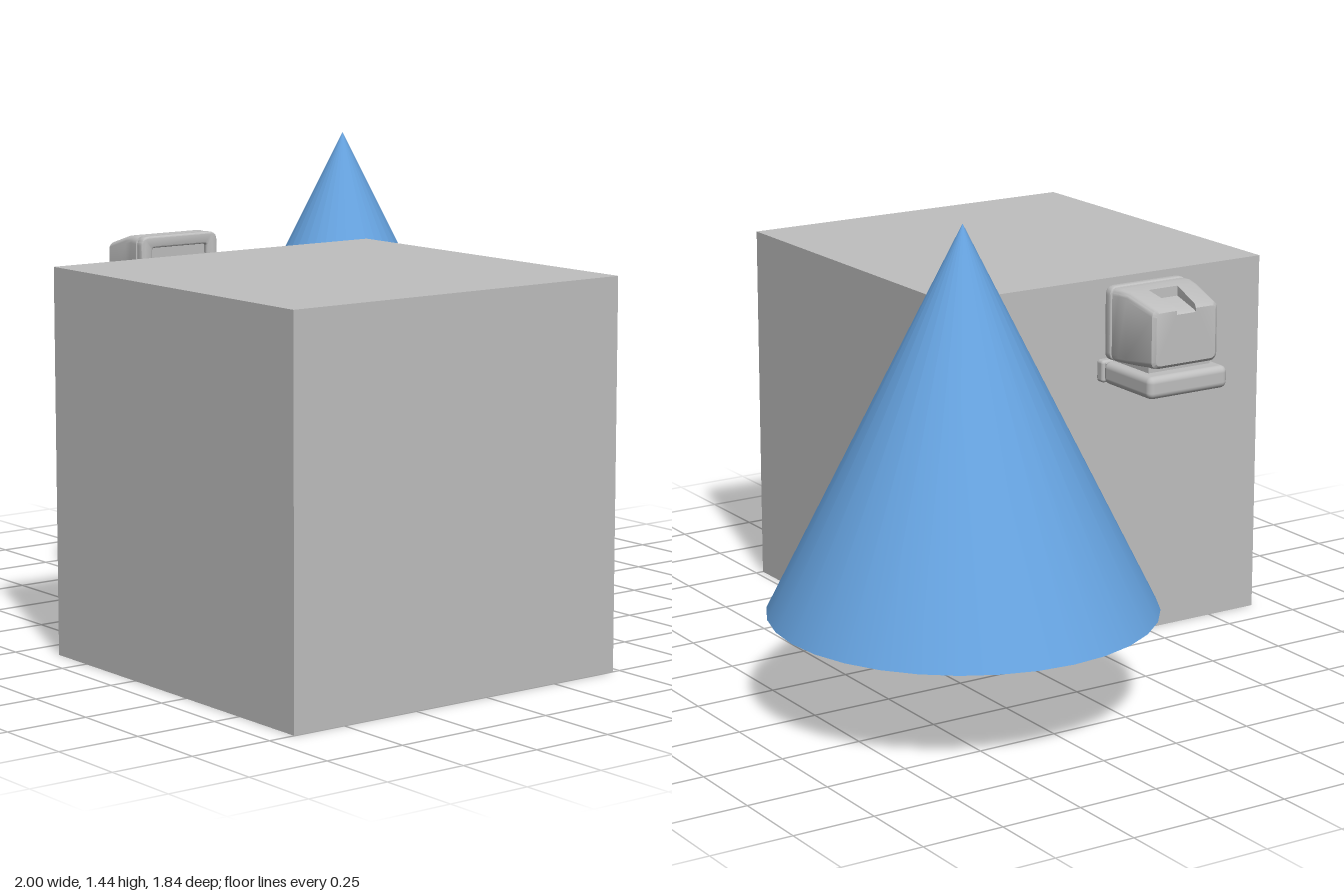
import * as THREE from 'three';
import { toCreasedNormals } from 'three/addons/utils/BufferGeometryUtils.js';
import { RoundedBoxGeometry } from 'three/addons/geometries/RoundedBoxGeometry.js';

const MID_Z = 0.337;

// Rounded rectangle as a Shape or a Path
function roundedRect(target, x0, y0, x1, y1, r) {
  target.moveTo(x0 + r, y0);
  target.lineTo(x1 - r, y0);
  target.quadraticCurveTo(x1, y0, x1, y0 + r);
  target.lineTo(x1, y1 - r);
  target.quadraticCurveTo(x1, y1, x1 - r, y1);
  target.lineTo(x0 + r, y1);
  target.quadraticCurveTo(x0, y1, x0, y1 - r);
  target.lineTo(x0, y0 + r);
  target.quadraticCurveTo(x0, y0, x0 + r, y0);
  return target;
}

// Cross-section (z, y) of the monitor housing, with a grip notch in its top
function section({ half, y0, y1, r, notch, depth }) {
  const pts = [];
  const corner = (cz, cy, start) => {
    for (let k = 0; k <= 5; k++) {
      const a = start + (k / 5) * Math.PI / 2;
      pts.push(new THREE.Vector2(cz + r * Math.cos(a), cy + r * Math.sin(a)));
    }
  };
  corner(-half + r, y0 + r, Math.PI);
  corner(half - r, y0 + r, Math.PI * 1.5);
  corner(half - r, y1 - r, 0);
  for (const [z, y] of [[notch, y1], [notch, y1 - depth], [-notch, y1 - depth], [-notch, y1]]) {
    pts.push(new THREE.Vector2(z, y));
  }
  corner(-half + r, y1 - r, Math.PI / 2);
  return pts;
}

// Skin the housing sections along x and close the rear end
function housingGeometry() {
  const stations = [
    { x: -0.557, half: 0.106, y0: 0.973, y1: 1.132, r: 0.014, notch: 0.034, depth: 0.012 },
    { x: -0.549, half: 0.117, y0: 0.964, y1: 1.143, r: 0.022, notch: 0.035, depth: 0.018 },
    { x: -0.440, half: 0.131, y0: 0.957, y1: 1.173, r: 0.022, notch: 0.052, depth: 0.030 },
    { x: -0.439, half: 0.131, y0: 0.957, y1: 1.173, r: 0.022, notch: 0.052, depth: 0 },
    { x: -0.405, half: 0.135, y0: 0.955, y1: 1.178, r: 0.022, notch: 0.052, depth: 0 },
    { x: -0.376, half: 0.137, y0: 0.954, y1: 1.176, r: 0.022, notch: 0.052, depth: 0 },
    { x: -0.375, half: 0.129, y0: 0.962, y1: 1.168, r: 0.022, notch: 0.052, depth: 0 },
    { x: -0.360, half: 0.129, y0: 0.962, y1: 1.168, r: 0.022, notch: 0.052, depth: 0 },
  ];
  const loops = stations.map(section);
  const n = loops[0].length;
  const pos = [];
  const idx = [];
  loops.forEach((loop, i) => loop.forEach((p) => pos.push(stations[i].x, p.y, MID_Z + p.x)));
  for (let i = 0; i < loops.length - 1; i++) {
    for (let j = 0; j < n; j++) {
      const a = i * n + j;
      const b = i * n + (j + 1) % n;
      idx.push(a, a + n, b + n, a, b + n, b);
    }
  }
  THREE.ShapeUtils.triangulateShape(loops[0].slice(), []).forEach((f) => idx.push(...f));
  const g = new THREE.BufferGeometry();
  g.setAttribute('position', new THREE.Float32BufferAttribute(pos, 3));
  g.setIndex(idx);
  return toCreasedNormals(g, 0.6);
}

// Front frame around the recessed screen, facing +x
function bezelGeometry() {
  const bevel = 0.005;
  const shape = roundedRect(new THREE.Shape(), -0.133, 0.957, 0.133, 1.173, 0.022);
  shape.holes.push(roundedRect(new THREE.Path(), -0.105, 0.99, 0.105, 1.148, 0.014));
  const g = new THREE.ExtrudeGeometry(shape, {
    depth: 0.018, bevelEnabled: true, bevelSize: bevel, bevelThickness: bevel,
    bevelSegments: 3, curveSegments: 5,
  });
  g.rotateY(Math.PI / 2);
  g.translate(-0.364, 0, MID_Z);
  return toCreasedNormals(g, 0.6);
}

export function createModel() {
  const grey = new THREE.MeshStandardMaterial({ color: 0xbfbfbf });
  grey.name = 'light grey';
  const blue = new THREE.MeshStandardMaterial({ color: 0x66a3e0 });
  blue.name = 'sky blue';

  const group = new THREE.Group();
  const add = (parent, name, geometry, material, x = 0, y = 0, z = 0) => {
    const mesh = new THREE.Mesh(geometry, material);
    mesh.name = name;
    mesh.position.set(x, y, z);
    parent.add(mesh);
    return mesh;
  };

  // Large plain solids
  add(group, 'cube', new THREE.BoxGeometry(1.143, 1.143, 1.143), grey, 0.4285, 0.5715, 0.3465);
  add(group, 'cone', new THREE.ConeGeometry(0.5715, 1.14, 32), blue, -0.4285, 0.875, -0.3525);

  // Small desktop computer floating beside the cube
  const computer = new THREE.Group();
  computer.name = 'computer';
  group.add(computer);
  add(computer, 'baseRear', new RoundedBoxGeometry(0.241, 0.068, 0.284, 4, 0.02), grey, -0.4575, 0.914, MID_Z);
  add(computer, 'baseCore', new THREE.BoxGeometry(0.06, 0.05, 0.262), grey, -0.345, 0.914, MID_Z);
  add(computer, 'baseFront', new RoundedBoxGeometry(0.034, 0.068, 0.284, 3, 0.01), grey, -0.32, 0.914, MID_Z);
  add(computer, 'neck', new THREE.BoxGeometry(0.17, 0.03, 0.22), grey, -0.44, 0.955, MID_Z);
  add(computer, 'housing', housingGeometry(), grey);
  add(computer, 'bezel', bezelGeometry(), grey);
  add(computer, 'screen', new THREE.BoxGeometry(0.008, 0.18, 0.23), grey, -0.359, 1.069, MID_Z);
  return group;
}
